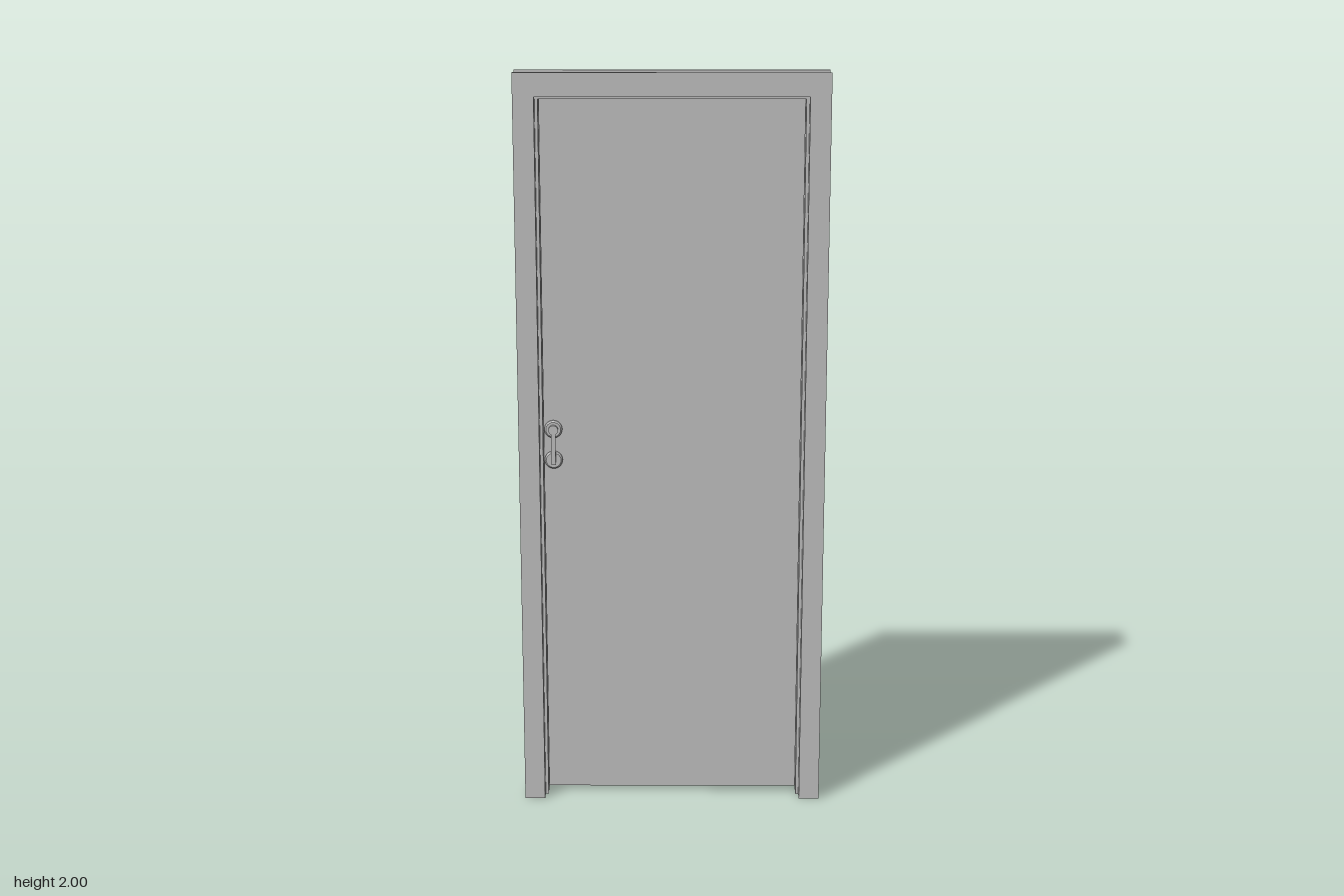
import * as THREE from 'three';

const steel = new THREE.MeshStandardMaterial({ color: 0xc0c0c0 });
steel.name = 'plain grey steel';

function add(parent, name, geometry, x = 0, y = 0, z = 0) {
  const mesh = new THREE.Mesh(geometry, steel);
  mesh.name = name;
  mesh.position.set(x, y, z);
  parent.add(mesh);
  return mesh;
}

// Box given by its limits on each axis
function block(parent, name, [x0, x1], [y0, y1], [z0, z1]) {
  return add(parent, name, new THREE.BoxGeometry(x1 - x0, y1 - y0, z1 - z0),
    (x0 + x1) / 2, (y0 + y1) / 2, (z0 + z1) / 2);
}

// Doorway-shaped surround, open at the floor, extruded from z0 to z1
function surround(parent, name, outX, outY, inX, inY, z0, z1) {
  const shape = new THREE.Shape([
    [-outX, 0], [-inX, 0], [-inX, inY], [inX, inY],
    [inX, 0], [outX, 0], [outX, outY], [-outX, outY],
  ].map(([x, y]) => new THREE.Vector2(x, y)));
  add(parent, name, new THREE.ExtrudeGeometry(shape, { depth: z1 - z0, bevelEnabled: false }), 0, 0, z0);
}

// Round part with its axis along z, turned from [radius, z] points
function turned(parent, name, profile, x, y, z, towardBack = false) {
  const points = profile.map(([r, h]) => new THREE.Vector2(r, h));
  const mesh = add(parent, name, new THREE.LatheGeometry(points, 28), x, y, z);
  mesh.rotation.x = towardBack ? -Math.PI / 2 : Math.PI / 2;
  return mesh;
}

// Repeating a point keeps the edge of a turned part crisp
const crisp = (profile) => profile.flatMap((p) => [p, p]).slice(1, -1);

export function createModel() {
  const model = new THREE.Group();
  model.name = 'steelDoor';

  // Hollow frame: two face flanges joined by an outer web and a lining
  const frame = new THREE.Group();
  frame.name = 'frame';
  model.add(frame);
  surround(frame, 'frontFlange', 0.408, 2, 0.353, 1.938, 0.045, 0.053);
  surround(frame, 'backFlange', 0.408, 2, 0.345, 1.93, -0.03, -0.022);
  surround(frame, 'outerWeb', 0.4, 1.988, 0.397, 1.985, -0.022, 0.045);
  surround(frame, 'lining', 0.356, 1.941, 0.353, 1.938, 0.02, 0.045);
  surround(frame, 'doorStop', 0.356, 1.941, 0.345, 1.93, -0.022, 0.022);

  // Door leaf with a wider plate lapping over the back of the frame
  const leaf = new THREE.Group();
  leaf.name = 'doorLeaf';
  model.add(leaf);
  block(leaf, 'leafCore', [-0.344, 0.344], [0.015, 1.929], [-0.03, 0]);
  block(leaf, 'leafBackPlate', [-0.357, 0.358], [0.005, 1.942], [-0.038, -0.03]);

  // Hinges on the left edge
  for (const y of [1.705, 0.295]) {
    const hinge = new THREE.Group();
    hinge.name = 'hinge';
    hinge.position.y = y;
    model.add(hinge);
    add(hinge, 'hingeUpperKnuckle', new THREE.CylinderGeometry(0.006, 0.006, 0.043, 16), 0.366, 0.0225, -0.036);
    add(hinge, 'hingeLowerKnuckle', new THREE.CylinderGeometry(0.0055, 0.0055, 0.043, 16), 0.366, -0.0225, -0.036);
    block(hinge, 'hingeFrameLeaf', [0.364, 0.372], [0.001, 0.044], [-0.036, -0.03]);
    block(hinge, 'hingeDoorLeaf', [0.355, 0.366], [-0.044, -0.001], [-0.0405, -0.037]);
  }

  // Front pull: two round roses joined by a narrow bar
  const hx = -0.318, topY = 1.05, lowY = 0.965;
  const pull = new THREE.Group();
  pull.name = 'frontHandle';
  model.add(pull);
  for (const y of [topY, lowY]) {
    turned(pull, 'handleRose', crisp([[0.024, 0], [0.024, 0.005], [0.02, 0.009], [0.0, 0.009]]), hx, y, 0);
  }
  turned(pull, 'handleHub', crisp([[0.013, 0], [0.013, 0.018], [0.0, 0.018]]), hx, topY, 0);
  block(pull, 'handleBar', [hx - 0.006, hx + 0.006], [lowY - 0.01, topY], [0.011, 0.018]);

  // Back lock case with its small sliding knob
  const lock = new THREE.Group();
  lock.name = 'lock';
  model.add(lock);
  block(lock, 'lockCase', [-0.353, -0.282], [1.016, 1.084], [-0.053, -0.038]);
  block(lock, 'lockKnobStem', [-0.282, -0.274], [1.047, 1.053], [-0.048, -0.043]);
  block(lock, 'lockKnob', [-0.275, -0.271], [1.041, 1.059], [-0.049, -0.042]);

  // Back key rose with its raised ring and key plug
  turned(lock, 'keyRose', crisp([[0.024, 0], [0.024, 0.003], [0.019, 0.006], [0.0, 0.006]]), hx, lowY, -0.038, true);
  turned(lock, 'keyPlug', crisp([[0.009, 0], [0.009, 0.008], [0.0, 0.008]]), hx, lowY, -0.038, true);
  block(lock, 'keySlot', [hx - 0.0015, hx + 0.0015], [lowY - 0.005, lowY + 0.005], [-0.047, -0.045]);

  return model;
}
